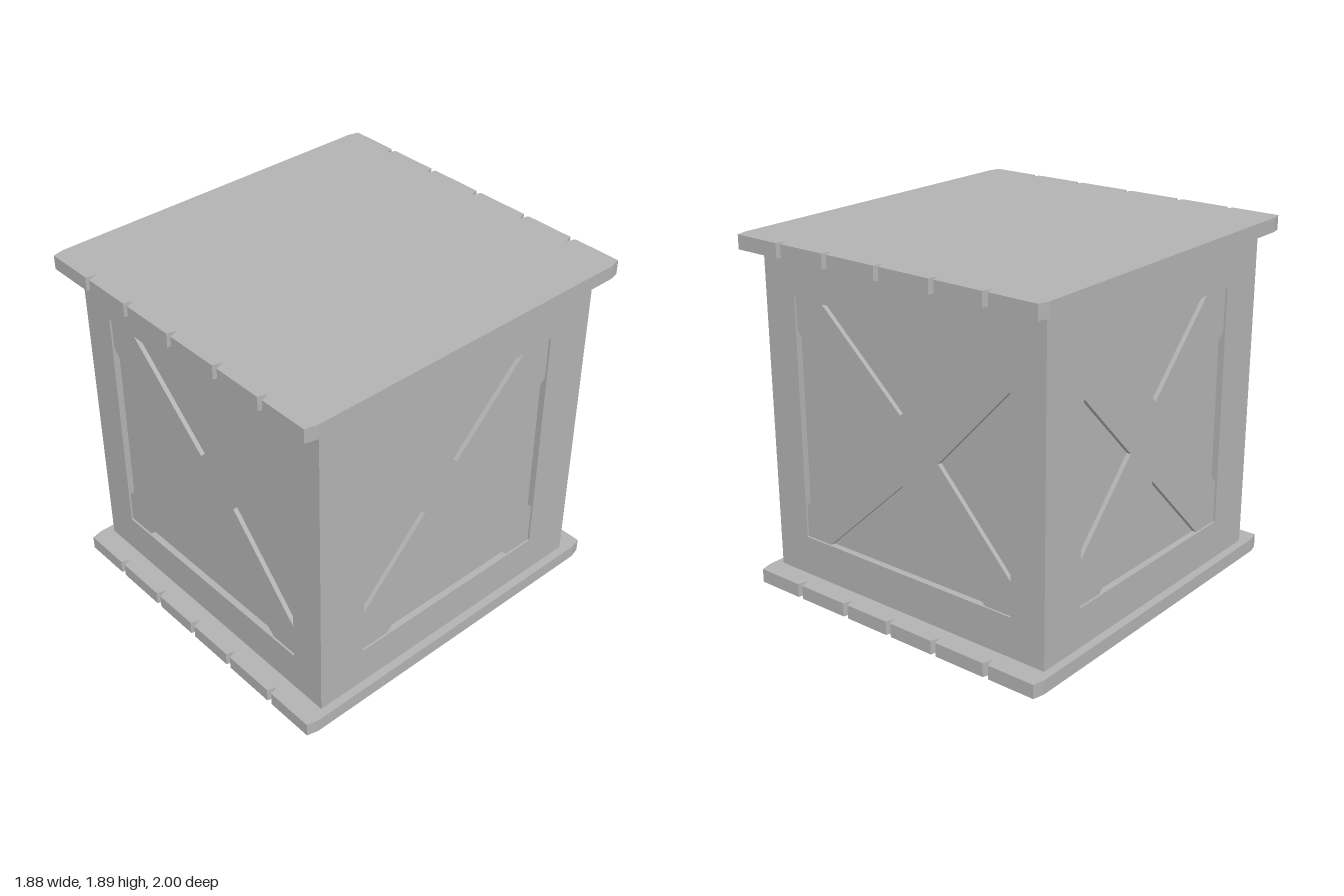
import * as THREE from 'three';

const grey = new THREE.MeshStandardMaterial({ color: 0xb2b2b2 });
grey.name = 'grey';

const HALF = 0.88, BOTTOM = 0.075, TOP = 1.815, RECESS = 0.035, CROSS = 0.024;
const CORE = HALF - RECESS;

function shapeOf(points) {
  return new THREE.Shape(points.map(([x, y]) => new THREE.Vector2(x, y)));
}

function add(parent, name, geometry) {
  const mesh = new THREE.Mesh(geometry, grey);
  mesh.name = name;
  parent.add(mesh);
  return mesh;
}

function extrude(shape, depth) {
  return new THREE.ExtrudeGeometry(shape, { depth, bevelEnabled: false });
}

// Board slab with chamfered corners and V notches along its front and back ends
function slab(halfX, notches, height) {
  const edge = [[-halfX, -0.94], [-halfX + 0.015, -1]];
  for (const x of notches) edge.push([x - 0.016, -1], [x, -0.95], [x + 0.016, -1]);
  edge.push([halfX - 0.015, -1], [halfX, -0.94]);
  const outline = [...edge, ...edge.map(([x, y]) => [-x, -y])];
  return extrude(shapeOf(outline), height).rotateX(-Math.PI / 2);
}

// One side wall: a frame with a slightly sunken cross brace, facing +z
function wall(name, outerX, p) {
  const group = new THREE.Group();
  group.name = name;
  const y0 = 0.29, y1 = 1.59;
  const frame = shapeOf([[-outerX, BOTTOM], [outerX, BOTTOM], [outerX, TOP], [-outerX, TOP]]);
  frame.holes.push(shapeOf([[-p.open, y0], [-p.open, y1], [p.open, y1], [p.open, y0]]));
  add(group, 'frame', extrude(frame, RECESS)).position.z = CORE;

  const cross = shapeOf([
    [-p.open, y0], [-p.low, y0], [0, p.lowTip], [p.low, y0], [p.open, y0],
    [p.open, p.sideLow], [p.sideTip, 0.943], [p.open, p.sideHigh],
    [p.open, y1], [p.high, y1], [0, p.highTip], [-p.high, y1], [-p.open, y1],
    [-p.open, p.sideHigh], [-p.sideTip, 0.943], [-p.open, p.sideLow],
  ]);
  add(group, 'crossBrace', extrude(cross, CROSS)).position.z = CORE;
  return group;
}

export function createModel() {
  const model = new THREE.Group();
  model.name = 'crate';

  // Inner box forming the sunken panels
  add(model, 'innerPanels', new THREE.BoxGeometry(CORE * 2, TOP - BOTTOM, CORE * 2))
    .position.y = (TOP + BOTTOM) / 2;

  // Four framed walls
  const wide = { open: 0.68, low: 0.515, lowTip: 0.765, high: 0.505, highTip: 1.13,
    sideLow: 0.46, sideHigh: 1.415, sideTip: 0.235 };
  const narrow = { open: 0.605, low: 0.435, lowTip: 0.73, high: 0.435, highTip: 1.15,
    sideLow: 0.52, sideHigh: 1.355, sideTip: 0.2 };
  ['frontWall', 'leftWall', 'backWall', 'rightWall'].forEach((name, i) => {
    const side = i % 2 === 1;
    const group = wall(name, side ? CORE : HALF, side ? narrow : wide);
    group.rotation.y = i * Math.PI / 2;
    model.add(group);
  });

  // Lid and base boards
  add(model, 'base', slab(0.925, [-0.625, -0.297, 0, 0.297, 0.625], BOTTOM));
  add(model, 'lid', slab(0.94, [-0.64, -0.332, 0, 0.332, 0.64], 0.075)).position.y = TOP;

  return model;
}
